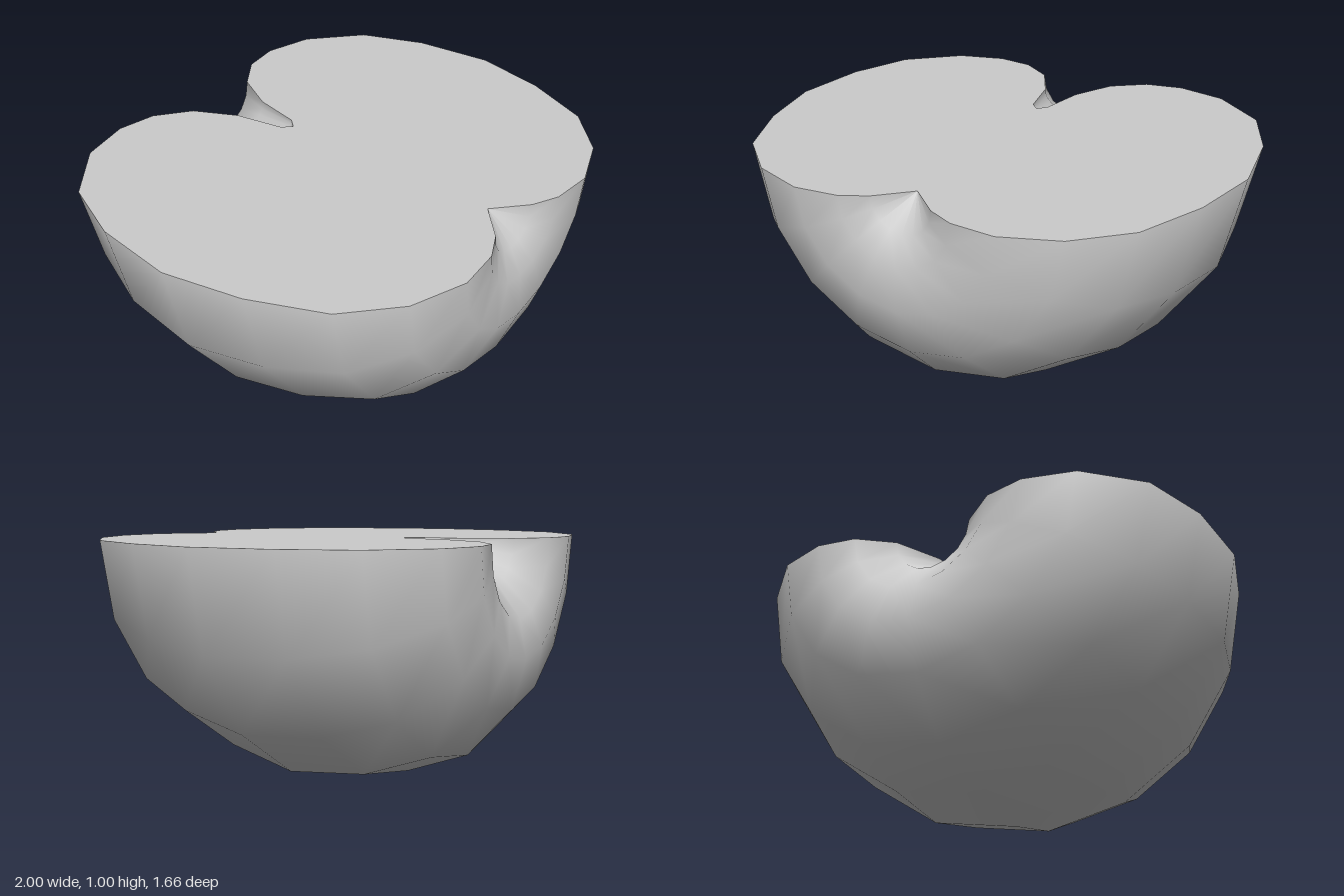
import * as THREE from 'three';

// Fruit profile [radius, z] from the stem pit at the back to the blossom pit at the front
const PROFILE = [
  [0, -0.29], [0.035, -0.33], [0.075, -0.53], [0.165, -0.705], [0.3, -0.805], [0.455, -0.832],
  [0.655, -0.78], [0.862, -0.597], [0.965, -0.33], [1, 0], [0.93, 0.305], [0.807, 0.58],
  [0.62, 0.75], [0.405, 0.828], [0.23, 0.813], [0.125, 0.763], [0, 0.65],
];

export function createModel() {
  const group = new THREE.Group();
  group.name = 'halvedApple';
  const material = new THREE.MeshStandardMaterial({ color: 0xcccccc });

  // Skin: half a revolution, laid down so the core axis runs along z
  const points = PROFILE.map(([r, z]) => new THREE.Vector2(r, z));
  const skinGeometry = new THREE.LatheGeometry(points, 8, -Math.PI / 2, Math.PI);
  skinGeometry.rotateX(Math.PI / 2);
  const skin = new THREE.Mesh(skinGeometry, material);
  skin.name = 'skin';

  // Cut face: the profile and its mirror image, closed at both pits
  const right = PROFILE.map(([r, z]) => new THREE.Vector2(r, -z));
  const left = PROFILE.slice(1, -1).reverse().map(([r, z]) => new THREE.Vector2(-r, -z));
  const cutGeometry = new THREE.ShapeGeometry(new THREE.Shape([...right, ...left]));
  cutGeometry.rotateX(-Math.PI / 2);
  const cutFace = new THREE.Mesh(cutGeometry, material);
  cutFace.name = 'cutFace';

  group.add(skin, cutFace);
  group.children.forEach((part) => { part.position.y = 1; });
  return group;
}
